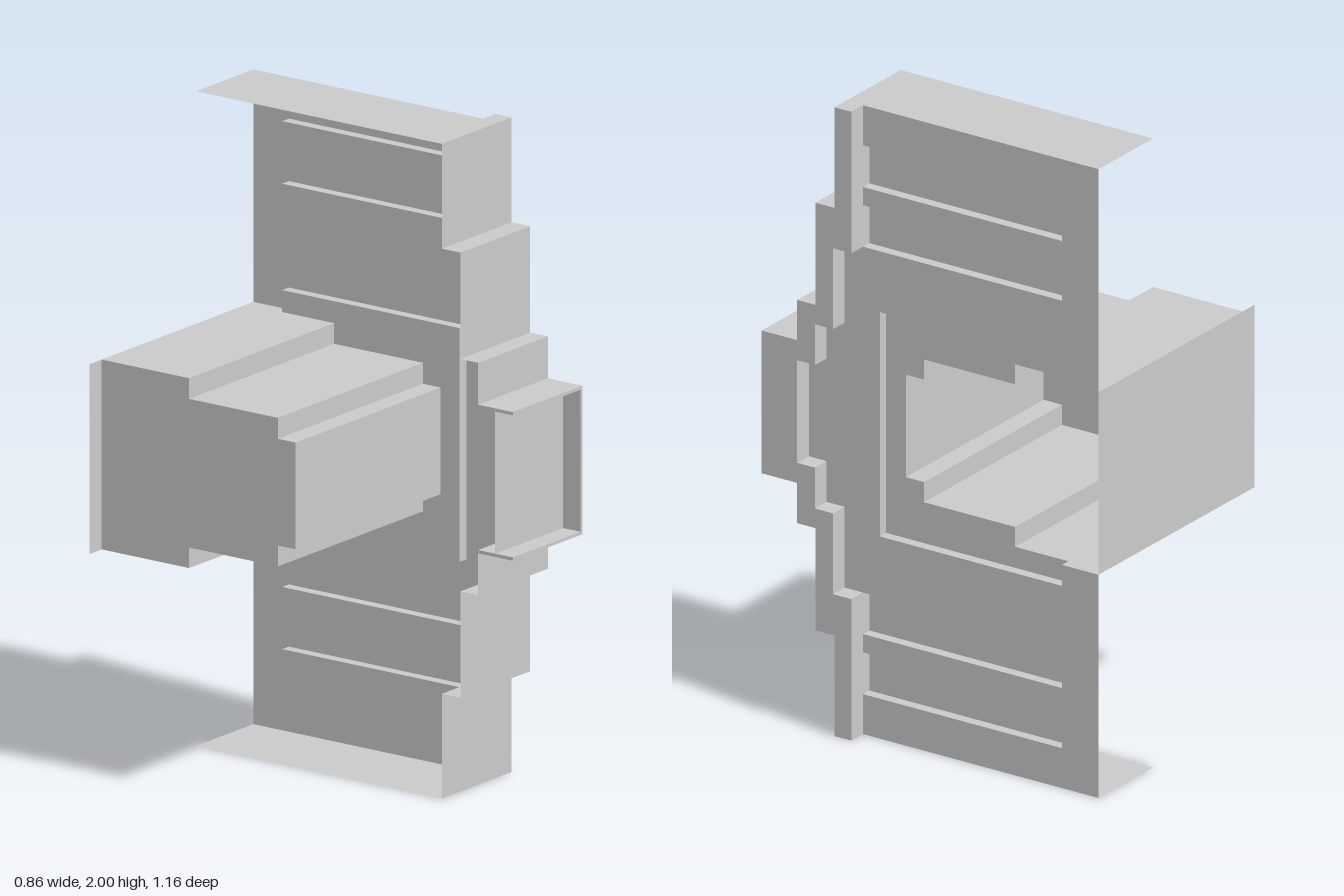
import * as THREE from 'three';

const material = new THREE.MeshStandardMaterial({ color: 0xcccccc, side: THREE.DoubleSide, flatShading: true });

// x positions of the sheets
const OPEN = 0.09, WALL = 0.37, SUNK = 0.337, RIM = 0.43, END = -0.37;

const mirror = (pts) => pts.map(([z, y]) => [z, 2 - y]);
const both = (pts) => [...pts, ...mirror(pts).reverse()];
const rect = (z0, z1, y0, y1) => [[z0, y0], [z1, y0], [z1, y1], [z0, y1]];

export function createModel() {
  const model = new THREE.Group();

  const add = (name, geometry) => {
    const mesh = new THREE.Mesh(geometry, material);
    mesh.name = name;
    model.add(mesh);
    return mesh;
  };

  // Flat sheet facing sideways, outlined by [z, y] points
  const panel = (name, x, pts, hole) => {
    const shape = new THREE.Shape(pts.map(([z, y]) => new THREE.Vector2(z, y)));
    if (hole) shape.holes.push(new THREE.Path(hole.map(([z, y]) => new THREE.Vector2(z, y))));
    add(name, new THREE.ShapeGeometry(shape).rotateY(-Math.PI / 2).translate(x, 0, 0));
  };

  // Folded sheet: a [z, y] path swept along x
  const ribbon = (name, x0, x1, pts, closed = false) => {
    const path = closed ? [...pts, pts[0]] : pts;
    const position = [];
    for (let i = 0; i < path.length - 1; i++) {
      const [[z0, y0], [z1, y1]] = [path[i], path[i + 1]];
      position.push(x0, y0, z0, x1, y0, z0, x1, y1, z1, x0, y0, z0, x1, y1, z1, x0, y1, z1);
    }
    const geometry = new THREE.BufferGeometry();
    geometry.setAttribute('position', new THREE.Float32BufferAttribute(position, 3));
    geometry.computeVertexNormals();
    add(name, geometry);
  };

  const box = (name, x0, x1, y0, y1, z0, z1) => add(name, new THREE.BoxGeometry(x1 - x0, y1 - y0, z1 - z0))
    .position.set((x0 + x1) / 2, (y0 + y1) / 2, (z0 + z1) / 2);

  // Upper halves of the stepped profiles
  const outer = [[0.32, 2], [0.32, 1.68], [0.388, 1.68], [0.388, 1.355], [0.453, 1.355], [0.453, 1.227]];
  const inner = [[0.26, 2], [0.26, 1.55], [0.325, 1.55], [0.325, 1.293], [0.39, 1.293], [0.39, 1.163], [0.453, 1.163]];
  const boxTop = [[-0.45, 1.29], [-0.26, 1.29], [-0.26, 1.227], [0.065, 1.227], [0.065, 1.163], [0.13, 1.163]];

  // Side wall, notched for the grooves and for the sunken surround
  const grooves = [[1.74, 1.873], [1.55, 1.682]];
  const wallFront = [[0.26, 2]];
  for (const [y0, y1] of grooves) wallFront.push([0.26, y1], [-0.45, y1], [-0.45, y0], [0.26, y0]);
  wallFront.push(...inner.slice(2));
  const wallBack = [[0.2, 1.357], [-0.45, 1.357], [-0.45, 1.29], [-0.58, 1.29], [-0.58, 2]];
  panel('sideWall', WALL, [...both(wallFront), ...mirror(wallBack).reverse(), ...wallBack]);

  // Long grooves
  for (const [y0, y1] of grooves) {
    for (const flip of [(p) => p, mirror]) {
      const outline = flip(rect(-0.45, 0.26, y0, y1));
      panel('grooveFloor', SUNK, outline);
      ribbon('grooveEdge', SUNK, WALL, outline, true);
    }
  }

  // Sunken surround around the opening of the side box
  const surroundTop = [[-0.45, 1.29], [-0.45, 1.357], [0.2, 1.357]];
  panel('surroundFloor', SUNK, [...both(surroundTop), ...mirror(boxTop), ...[...boxTop].reverse()]);
  ribbon('surroundEdge', SUNK, WALL, both(surroundTop));

  // Stepped side box with its wide back plate
  ribbon('boxShell', END, SUNK, both(boxTop));
  for (const y of [0.71, 1.29]) ribbon('boxRearShell', END, WALL, [[-0.58, y], [-0.45, y]]);
  for (const y of [0.71, 1.29]) ribbon('boxRearLip', SUNK, WALL, [[-0.58, y], [-0.45, y]]);
  panel('boxEnd', END, both([[-0.58, 1.29], ...boxTop]));
  ribbon('backPlate', -0.43, WALL, [[-0.58, 0.71], [-0.58, 1.29]]);

  // Top and bottom sheets
  for (const y of [0, 2]) {
    ribbon('endSheet', OPEN, WALL, [[-0.58, y], [0.26, y]]);
    ribbon('endSheetFront', OPEN, RIM, [[0.26, y], [0.32, y]]);
  }

  // Stepped front and its raised rim
  ribbon('rimStep', WALL, RIM, both(inner));
  const rim = [...outer.slice(0, -1), ...[...inner].reverse()];
  for (const flip of [(p) => p, mirror]) {
    ribbon('frontSheet', OPEN, RIM, flip(outer));
    panel('rimFace', RIM, flip(rim));
  }

  // Centre front frame with a recessed panel
  box('frameTop', OPEN, RIM, 1.217, 1.227, 0.453, 0.58);
  box('frameBottom', OPEN, RIM, 0.773, 0.783, 0.453, 0.58);
  box('frameSide', 0.42, RIM, 0.783, 1.217, 0.453, 0.58);
  ribbon('frontPanel', OPEN, 0.42, [[0.515, 0.783], [0.515, 1.217]]);

  return model;
}
